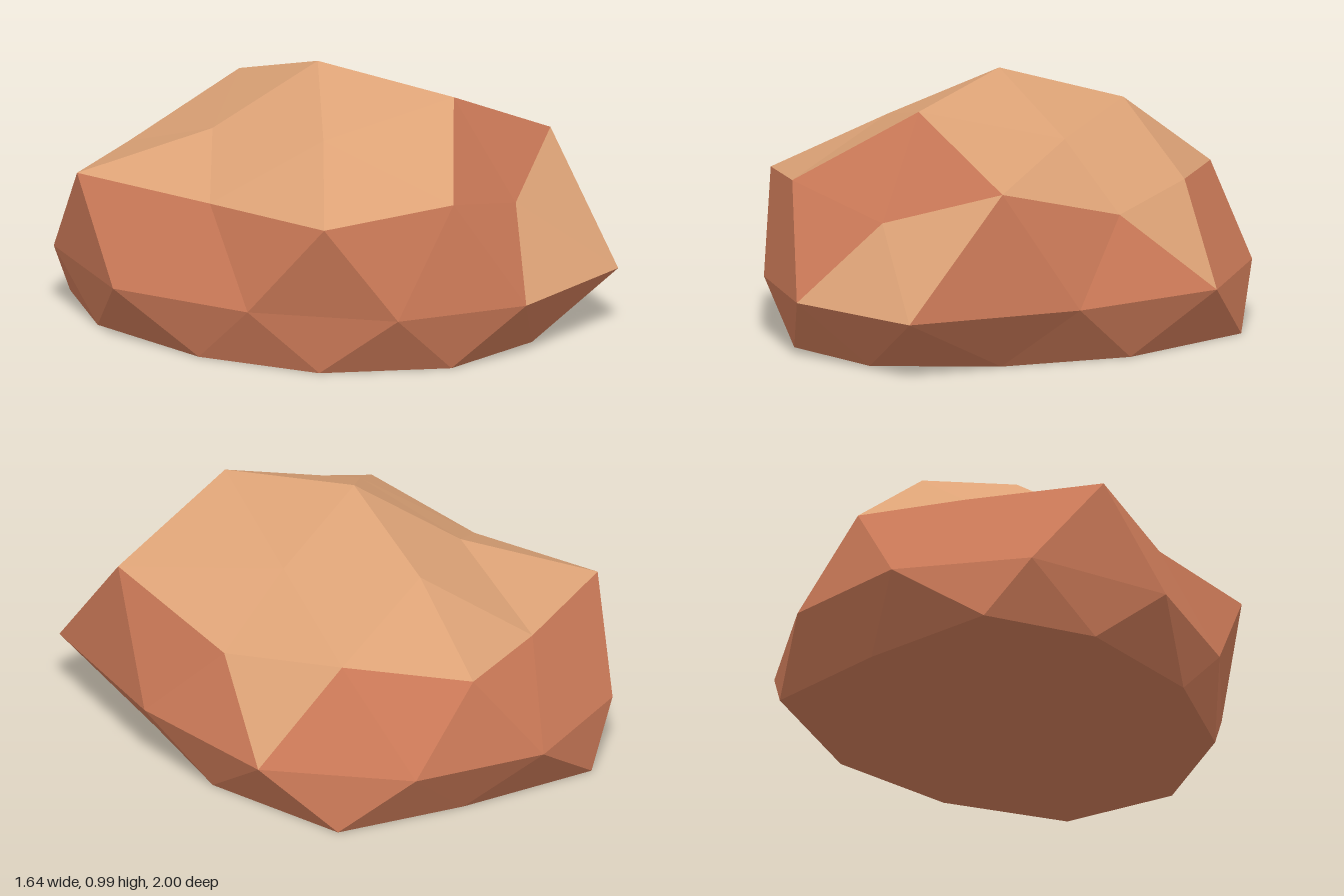
import * as THREE from 'three';

// Faceted boulder: rings of points running round from +x towards +z, 36 degrees apart.
const apex = [-0.02, 0.985, 0];
const crown = [ // five points around the apex
  [0.35, 0.77, 0], [0.13, 0.91, 0.53], [-0.33, 0.80, 0.28], [-0.32, 0.745, -0.26], [0.12, 0.83, -0.49],
];
const shoulder = [
  [0.66, 0.53, 0], [0.65, 0.68, 0.57], [0.20, 0.53, 0.77], [-0.24, 0.635, 0.83], [-0.67, 0.585, 0.56],
  [-0.63, 0.57, -0.02], [-0.70, 0.595, -0.60], [-0.20, 0.57, -0.76], [0.20, 0.555, -0.85], [0.50, 0.58, -0.46],
];
const rim = [ // widest ring
  [0.78, 0.30], [0.57, 0.96], [-0.02, 1.0], [-0.48, 0.76], [-0.74, 0.25],
  [-0.82, -0.33], [-0.53, -0.85], [-0.02, -1.0], [0.47, -0.82], [0.82, -0.34],
].map(([x, z]) => [x, 0.225, z]);
const foot = [ // flat base outline
  [0.72, 0], [0.54, 0.48], [0.21, 0.84], [-0.24, 0.82], [-0.60, 0.48],
  [-0.72, 0], [-0.64, -0.55], [-0.36, -0.91], [0.18, -0.78], [0.66, -0.60],
].map(([x, z]) => [x, 0, z]);

export function createModel() {
  const group = new THREE.Group();
  group.name = 'boulder';
  const clay = new THREE.MeshStandardMaterial({ color: 0xcc7a58, flatShading: true });
  clay.name = 'red clay';
  const sand = new THREE.MeshStandardMaterial({ color: 0xdca276, flatShading: true });
  sand.name = 'sandy tan';

  const middle = new THREE.Vector3(0, 0.3, 0);
  // Adds a triangle, turned to face away from the middle
  function face(list, ...corners) {
    const [a, b, c] = corners.map((p) => new THREE.Vector3(...p));
    const n = b.clone().sub(a).cross(c.clone().sub(a));
    const outward = n.dot(a.clone().add(b).add(c).divideScalar(3).sub(middle)) > 0;
    for (const v of outward ? [a, b, c] : [a, c, b]) list.push(v.x, v.y, v.z);
  }
  function addMesh(name, list, material) {
    const geometry = new THREE.BufferGeometry();
    geometry.setAttribute('position', new THREE.Float32BufferAttribute(list, 3));
    geometry.computeVertexNormals();
    const mesh = new THREE.Mesh(geometry, material);
    mesh.name = name;
    group.add(mesh);
  }

  const top = [], sides = [], patches = [], base = [];

  // Upper cap: four facets per fifth, with two clay facets at the front
  for (let k = 0; k < 5; k++) {
    const p = crown[k], q = crown[(k + 1) % 5];
    const s = shoulder[2 * k], m = shoulder[2 * k + 1], t = shoulder[(2 * k + 2) % 10];
    face(top, apex, p, q);
    face(top, p, m, q);
    face(k === 1 ? sides : top, p, s, m);
    face(k === 0 ? sides : top, q, m, t);
  }

  // Side bands above and below the rim, and the flat base
  for (let j = 0; j < 10; j++) {
    const n = (j + 1) % 10, e = rim[j], d = rim[(j + 9) % 10];
    face(j === 2 ? patches : sides, shoulder[j], d, e);
    face(j === 1 || j === 9 ? patches : sides, e, shoulder[j], shoulder[n]);
    face(sides, foot[j], d, e);
    face(sides, e, foot[j], foot[n]);
    face(base, [0, 0, 0], foot[j], foot[n]);
  }

  addMesh('top', top, sand);
  addMesh('sidePatches', patches, sand);
  addMesh('sides', sides, clay);
  addMesh('base', base, clay);
  return group;
}
